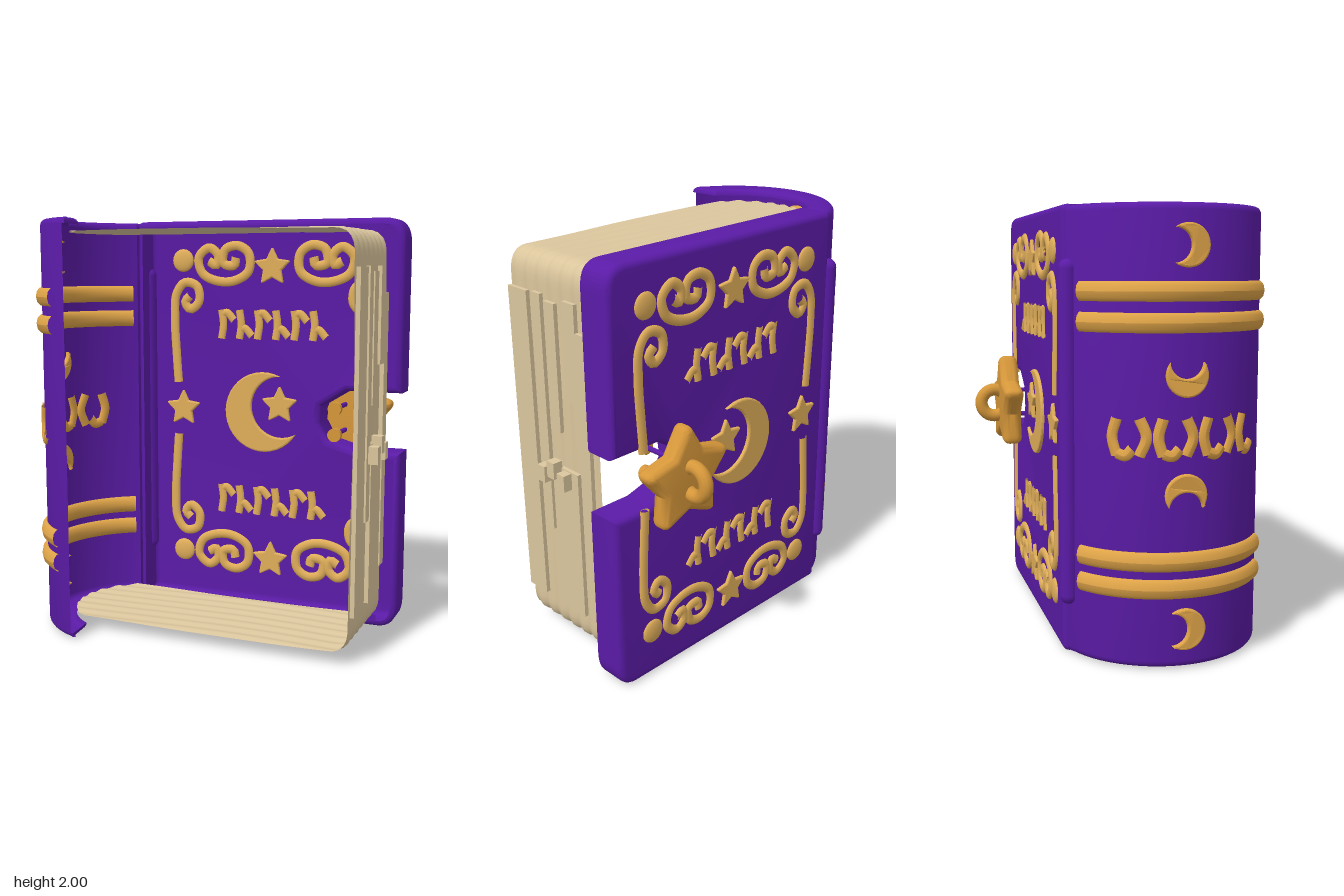
import * as THREE from 'three';
import { toCreasedNormals } from 'three/addons/utils/BufferGeometryUtils.js';

const paint = (name, color) => {
  const m = new THREE.MeshStandardMaterial({ color, side: THREE.DoubleSide });
  m.name = name;
  return m;
};

// Spine arc: centre, outer and inner radius, seen from above
const CX = -0.37, CZ = 0.137, RO = 0.476, RI = 0.34;
// Ornament layout is mirrored about this point on the cover
const MX = 0.16, MY = 1.02, FACE = -0.33;

// Copy of an extruded geometry without the triangles whose three corners all pass the test
function dropFaces(geo, test) {
  const p = geo.attributes.position, out = [];
  for (let i = 0; i < p.count; i += 3) {
    const tri = [0, 1, 2].map(k => new THREE.Vector3().fromBufferAttribute(p, i + k));
    if (!tri.every(test)) tri.forEach(v => out.push(v.x, v.y, v.z));
  }
  const g = new THREE.BufferGeometry();
  g.setAttribute('position', new THREE.Float32BufferAttribute(out, 3));
  return toCreasedNormals(g, 0.7);
}

// Five-pointed star; round is how far each tip is softened along its edges
function starShape(R, ratio, round) {
  const pts = [];
  for (let i = 0; i < 10; i++) {
    const a = Math.PI / 2 + i * Math.PI / 5, r = i % 2 ? R * ratio : R;
    pts.push(new THREE.Vector2(r * Math.cos(a), r * Math.sin(a)));
  }
  const s = new THREE.Shape();
  for (let i = 0; i < 10; i += 2) {
    const tip = pts[i], a = tip.clone().lerp(pts[(i + 9) % 10], round), b = tip.clone().lerp(pts[i + 1], round);
    if (i) s.lineTo(a.x, a.y); else s.moveTo(a.x, a.y);
    s.quadraticCurveTo(tip.x, tip.y, b.x, b.y).lineTo(pts[i + 1].x, pts[i + 1].y);
  }
  return s;
}

// Crescent opening towards +x
function moonShape(R, d, r) {
  const a = Math.acos((R * R + d * d - r * r) / (2 * R * d));
  const b = Math.atan2(R * Math.sin(a), R * Math.cos(a) - d);
  const s = new THREE.Shape();
  s.absarc(0, 0, R, a, 2 * Math.PI - a, false);
  s.absarc(d, 0, r, 2 * Math.PI - b, b, true);
  return s;
}

// Low relief centred on z = 0
function relief(shape, depth = 0.016, bevel = 0.008) {
  const g = new THREE.ExtrudeGeometry(shape, {
    depth, bevelSize: bevel, bevelThickness: bevel, bevelOffset: -bevel, bevelSegments: 2, curveSegments: 14 });
  return g.translate(0, 0, -depth / 2);
}

// Flattened cord through points [x, y]
function cord(pts, r = 0.025) {
  const c = new THREE.CatmullRomCurve3(pts.map(([x, y]) => new THREE.Vector3(x, y, 0)));
  return new THREE.TubeGeometry(c, pts.length * 6, r, 10).scale(1, 1, 0.65);
}

// Wrap a flat geometry around the outside of the spine
function wrap(geo) {
  const p = geo.attributes.position;
  for (let i = 0; i < p.count; i++) {
    const a = p.getX(i) / RO, R = RO + p.getZ(i);
    p.setXYZ(i, CX - R * Math.cos(a), p.getY(i), CZ + R * Math.sin(a));
  }
  geo.computeVertexNormals();
  return geo;
}

export function createModel() {
  const book = new THREE.Group();
  book.name = 'book';
  const purple = paint('purple leather', 0x5a1ba6);
  const paper = paint('paper', 0xdbc69d);
  const gold = paint('ornament gold', 0xe0ae5a);
  const bandGold = paint('spine gold', 0xdfa448);
  const metal = paint('clasp gold', 0xd6973a);
  const add = (name, geo, mat, x = 0, y = 0, z = 0) => {
    const m = new THREE.Mesh(geo, mat);
    m.name = name;
    m.position.set(x, y, z);
    book.add(m);
  };

  // Cover: rounded tray, open towards the pages, with a notch for the clasp
  const c = new THREE.Shape();
  c.moveTo(-0.5, 0).lineTo(0.77, 0).quadraticCurveTo(0.87, 0, 0.87, 0.12);
  c.lineTo(0.87, 0.88).lineTo(0.65, 0.88).lineTo(0.51, 0.92).lineTo(0.46, 1.01);
  c.lineTo(0.47, 1.09).lineTo(0.6, 1.17).lineTo(0.87, 1.17);
  c.lineTo(0.87, 1.88).quadraticCurveTo(0.87, 2, 0.77, 2).lineTo(-0.5, 2);
  c.quadraticCurveTo(-0.53, 2, -0.53, 1.97).lineTo(-0.53, 0.03).quadraticCurveTo(-0.53, 0, -0.5, 0);
  const coverGeo = new THREE.ExtrudeGeometry(c, {
    depth: 0.12, bevelSize: 0.03, bevelThickness: 0.03, bevelOffset: -0.03, bevelSegments: 4, curveSegments: 8 });
  coverGeo.translate(0, 0, FACE + 0.03);
  add('cover', dropFaces(coverGeo, v => v.z > -0.151), purple);
  for (const y of [0.045, 1.955]) add('coverRim', new THREE.PlaneGeometry(1.28, 0.035), purple, 0.13, y, -0.15);
  for (const y of [0.47, 1.55]) add('coverRim', new THREE.PlaneGeometry(0.05, 0.7), purple, 0.815, y, -0.15);

  // Spine: curved shell with rounded rims, open on the inside and along its front edge
  const s = new THREE.Shape();
  s.absarc(CX, -CZ, RO, Math.PI - 1.25, Math.PI + 1.25, false);
  s.absarc(CX, -CZ, RI, Math.PI + 1.06, Math.PI - 1.06, true);
  const spineGeo = new THREE.ExtrudeGeometry(s, {
    depth: 1.93, bevelSize: 0.03, bevelThickness: 0.03, bevelOffset: -0.03, bevelSegments: 4, curveSegments: 32 });
  spineGeo.rotateX(-Math.PI / 2).translate(0, 0.035, 0);
  const isOpen = v => v.y > 0.03 && v.y < 1.97 &&
    (Math.hypot(v.x - CX, v.z - CZ) < RI + 0.004 || (v.x > -0.542 && v.z > CZ));
  add('spine', dropFaces(spineGeo, isOpen), purple);
  add('hinge', new THREE.CapsuleGeometry(0.042, 1.45, 6, 14), purple, -0.545, 1, -0.308);

  // Spine bands, crescents and marks
  for (const y of [1.63, 1.5, 0.48, 0.36]) {
    const line = [];
    for (let i = 0; i <= 10; i++) line.push([-0.485 + i * 0.097, y]);
    add('spineBand', wrap(cord(line, 0.044)), bandGold);
  }
  for (const [y, turn] of [[1.82, Math.PI], [1.28, Math.PI / 2], [0.77, -Math.PI / 2], [0.18, Math.PI]])
    add('spineCrescent', wrap(relief(moonShape(0.092, 0.06, 0.073), 0.028).rotateZ(turn).translate(0, y, 0)), bandGold);
  for (let i = 0; i < 7; i++) {
    const x = -0.3 + i * 0.1;
    add('spineMark', wrap(cord([[x, 0.94], [x + (i % 2 ? 0.03 : -0.02), 1.02], [x, 1.1]], 0.025)), bandGold);
    if (i % 2 === 0) add('spineMark', wrap(cord([[x, 0.95], [x + 0.04, 0.94], [x + 0.07, 0.97]], 0.025)), bandGold);
  }

  // Pages: rippled wall along top, fore edge and bottom
  const path = new THREE.Path();
  path.moveTo(-0.5, 1.94).lineTo(0.7, 1.94).quadraticCurveTo(0.79, 1.94, 0.79, 1.83);
  path.lineTo(0.79, 0.17).quadraticCurveTo(0.79, 0.06, 0.7, 0.06).lineTo(-0.5, 0.06);
  const NU = 140, NV = 40, pts = path.getSpacedPoints(NU);
  const pages = new THREE.PlaneGeometry(1, 1, NU, NV), pp = pages.attributes.position;
  for (let j = 0; j <= NV; j++) for (let i = 0; i <= NU; i++) {
    const { x, y } = pts[i], t = j / NV, z = -0.15 + 0.57 * t;
    const left = CX - Math.sqrt(RI * RI - (z - CZ) ** 2);
    const ripple = 0.004 * Math.sin(t * 44 + 1.5 * Math.sin(i * 0.12)) - 0.003;
    const nx = x < 0 ? x + (left + 0.5) * (-x / 0.5) : x + (x > 0.7 ? ripple : 0);
    pp.setXYZ(j * (NU + 1) + i, nx, 1 + (y - 1) * (1 + ripple), z);
  }
  pages.computeVertexNormals();
  add('pages', pages, paper);

  // Ragged sheets on the fore edge: y, z, height, width
  for (const [y, z, h, w] of [[1.0, 0.35, 1.54, 0.13], [1.2, 0.22, 1.15, 0.06], [1.45, 0.13, 0.6, 0.07],
    [0.6, 0.08, 0.75, 0.18], [1.55, 0.0, 0.45, 0.08], [1.0, -0.07, 1.3, 0.07]])
    add('raggedSheet', new THREE.BoxGeometry(0.02, h, w), paper, 0.8, y, z);
  for (const [y, z] of [[0.93, 0.06], [0.93, 0.2], [0.97, 0.13]])
    add('paperScrap', new THREE.BoxGeometry(0.05, 0.08, 0.05), paper, 0.83, y, z);

  // Cover scrollwork, mirrored into the four corners
  const scroll = [[-.2, 1.8], [-.16, 1.78], [-.15, 1.83], [-.2, 1.87], [-.26, 1.82], [-.24, 1.74], [-.16, 1.7],
    [-.06, 1.7], [.02, 1.75], [.02, 1.84], [-.04, 1.88], [-.11, 1.86], [-.12, 1.79], [-.06, 1.78], [-.05, 1.82]];
  const side = [[-.38, 1.16], [-.39, 1.3], [-.4, 1.5], [-.39, 1.63], [-.34, 1.69], [-.27, 1.67],
    [-.26, 1.59], [-.31, 1.55], [-.34, 1.59], [-.31, 1.62]];
  for (const fx of [1, -1]) for (const fy of [1, -1]) {
    const flip = ([x, y]) => [MX + fx * (x - MX), MY + fy * (y - MY)];
    add('scroll', cord(scroll.map(flip)), gold, 0, 0, FACE);
    add('sideScroll', cord(side.map(flip)), gold, 0, 0, FACE);
    const [x, y] = flip([-0.35, 1.805]);
    add('stud', new THREE.SphereGeometry(0.06, 20, 10).scale(1, 1, 0.3), gold, x, y, FACE);
  }

  // Cover stars and moon
  for (const [x, y] of [[0.15, 1.77], [0.15, 0.23], [-0.35, 1.02], [0.195, 1.06]])
    add('coverStar', relief(starShape(0.105, 0.5, 0.25)), gold, x, y, FACE);
  add('coverMoon', relief(moonShape(0.21, 0.1, 0.16)).rotateZ(0.3), gold, 0.105, 1.02, FACE);

  // Abstract tally ornaments above and below the moon
  for (const y of [1.475, 0.545]) for (let i = 0; i < 6; i++) {
    const x = -0.13 + i * 0.1;
    add('tally', cord([[x, y - 0.075], [x + 0.01, y], [x, y + 0.075]], 0.021), gold, 0, 0, FACE);
    const up = i % 2 ? -0.03 : 0.05;
    add('tally', cord([[x, y + up], [x + 0.03, y + up + 0.01], [x + 0.07, y + up - 0.03]], 0.021), gold, 0, 0, FACE);
  }

  // Star clasp with pull ring
  const claspGeo = new THREE.ExtrudeGeometry(starShape(0.275, 0.56, 0.35), {
    depth: 0.03, bevelSize: 0.035, bevelThickness: 0.035, bevelOffset: -0.035, bevelSegments: 5, curveSegments: 8 });
  add('starClasp', toCreasedNormals(claspGeo, 0.8), metal, 0.535, 1.015, -0.42);
  add('pullRing', new THREE.TorusGeometry(0.07, 0.033, 12, 28).rotateY(Math.PI / 2), metal, 0.54, 1.015, -0.478);

  // Clasp rivets, reaching through the notch towards the pages
  for (const y of [1.08, 0.95]) {
    add('rivetHead', new THREE.CylinderGeometry(0.034, 0.034, 0.03, 18).rotateX(Math.PI / 2), metal, 0.54, y, -0.165);
    add('rivetPin', new THREE.CylinderGeometry(0.012, 0.012, 0.2, 10).rotateX(Math.PI / 2), purple, 0.54, y, -0.27);
  }
  return book;
}
